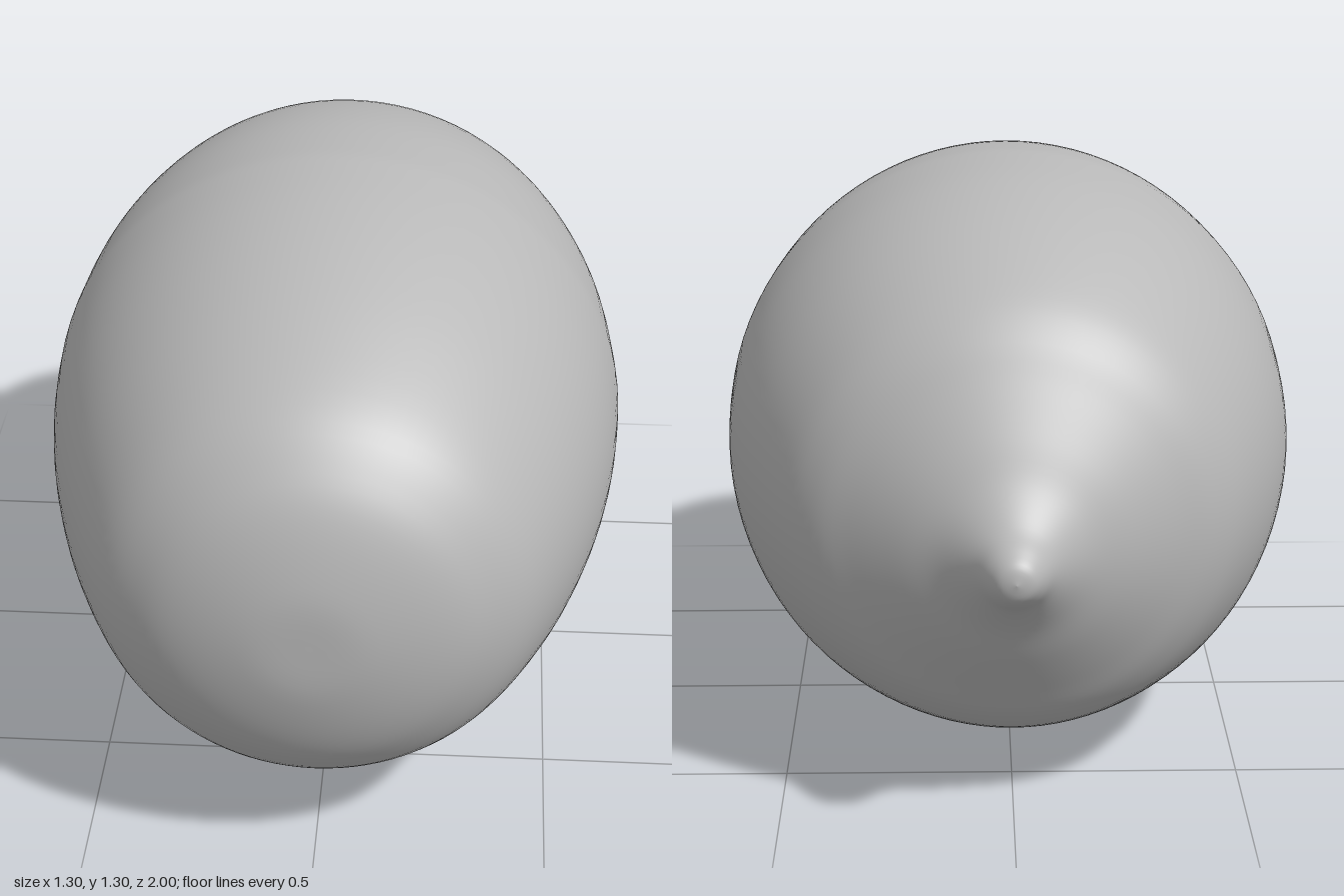
import * as THREE from 'three';

const CENTRE_Y = 0.65;

export function createModel() {
  const group = new THREE.Group();
  group.name = 'lemon';
  const peel = new THREE.MeshStandardMaterial({ color: 0xb8b8b8 });
  peel.name = 'peelGrey';

  // Profile as [radius, z], from the nipple at the back to the blunt front end
  const profile = [
    [0, -1], [0.035, -0.99], [0.06, -0.96], [0.092, -0.91], [0.155, -0.855],
    [0.24, -0.805], [0.34, -0.74], [0.425, -0.68], [0.495, -0.59], [0.58, -0.4],
    [0.63, -0.2], [0.648, 0], [0.647, 0.1], [0.632, 0.25], [0.598, 0.42],
    [0.54, 0.61], [0.455, 0.8], [0.36, 0.9], [0.26, 0.957], [0.12, 0.995], [0, 1],
  ].map(([r, z]) => new THREE.Vector2(r, z));
  const points = new THREE.SplineCurve(profile).getPoints(100);
  points.forEach((p) => { p.x = Math.max(0, p.x); });

  // Turn the lathe axis onto z, then let the nipple droop slightly
  const geometry = new THREE.LatheGeometry(points, 96);
  geometry.rotateX(Math.PI / 2);
  const pos = geometry.attributes.position;
  for (let i = 0; i < pos.count; i++) {
    const droop = 0.02 * THREE.MathUtils.smoothstep(-pos.getZ(i), 0.4, 0.85);
    pos.setY(i, pos.getY(i) - droop);
  }

  const body = new THREE.Mesh(geometry, peel);
  body.name = 'fruitBody';
  body.position.y = CENTRE_Y;
  group.add(body);
  return group;
}
